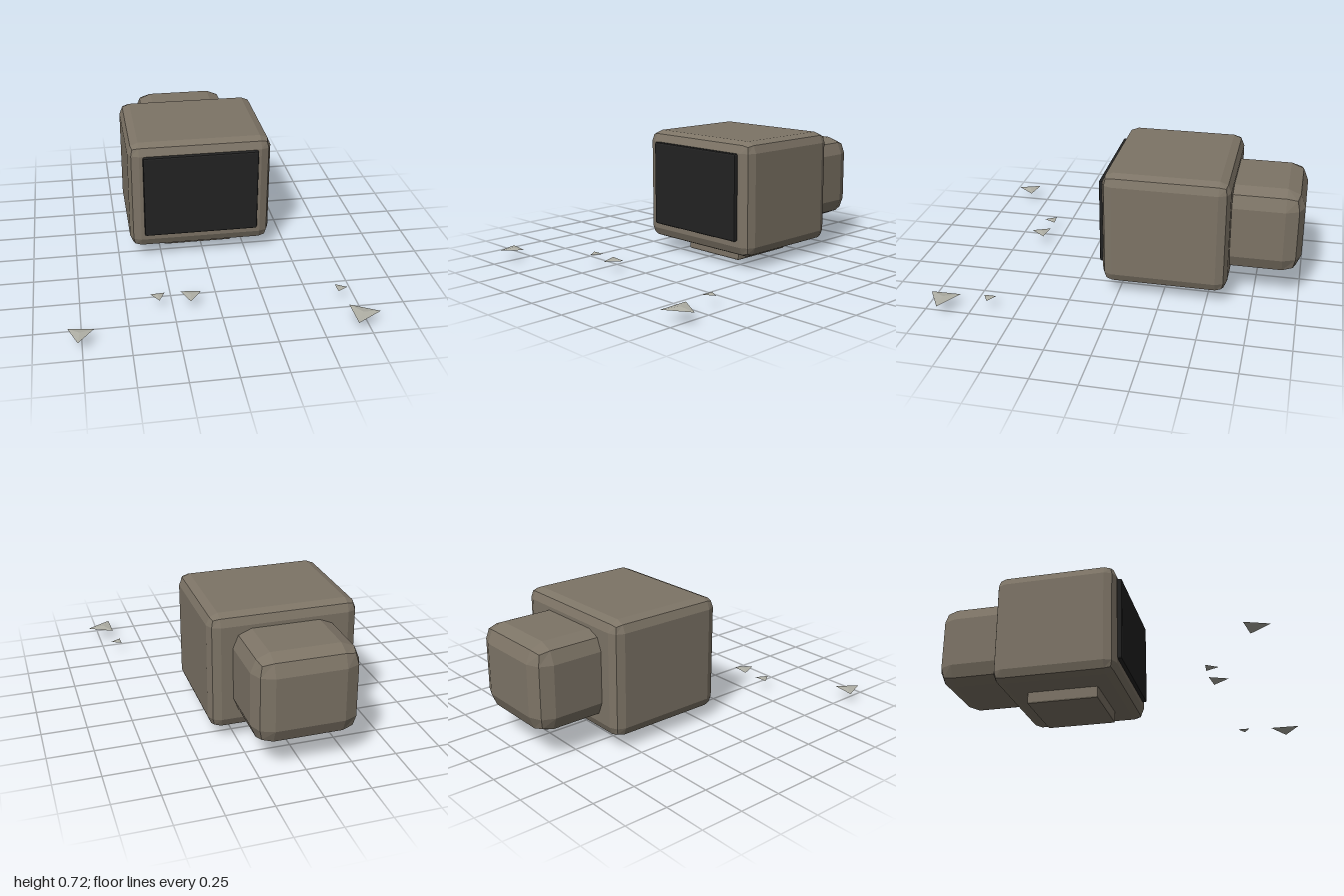
import * as THREE from 'three';
import { RoundedBoxGeometry } from 'three/addons/geometries/RoundedBoxGeometry.js';

function flatMaterial(name, color) {
  const m = new THREE.MeshStandardMaterial({ color, flatShading: true });
  m.name = name;
  return m;
}

export function createModel() {
  const casing = flatMaterial('casing taupe', 0x7d7466);
  const dark = flatMaterial('screen black', 0x222222);
  const glass = flatMaterial('shard grey', 0xb0b0a6);

  const group = new THREE.Group();
  group.name = 'brokenMonitor';

  // Box with two-step bevels, placed by its lower and upper corners
  function bevelBox(name, min, max, radius, material) {
    const size = max.map((v, i) => v - min[i]);
    const mesh = new THREE.Mesh(new RoundedBoxGeometry(...size, 1, radius), material);
    mesh.position.set(...max.map((v, i) => (v + min[i]) / 2));
    mesh.name = name;
    group.add(mesh);
  }

  bevelBox('mainCasing', [-0.43, 0.068, -0.61], [0.393, 0.724, 0.093], 0.062, casing);
  bevelBox('tubeHousing', [-0.305, 0.15, -1.0], [0.268, 0.642, -0.4], 0.1, casing);
  bevelBox('screen', [-0.348, 0.163, 0.05], [0.312, 0.66, 0.117], 0.01, dark);
  bevelBox('foot', [-0.222, 0, -0.46], [0.188, 0.075, -0.05], 0.01, casing);

  // Flat three-sided shards scattered in front: x, z, radius, turn in degrees
  const shards = [
    [-0.758, 0.867, 0.079, -9],
    [-0.328, 0.589, 0.046, 4],
    [-0.152, 0.603, 0.065, -7],
    [0.667, 0.658, 0.04, 90],
    [0.718, 0.906, 0.097, 91],
  ];
  shards.forEach(([x, z, r, turn], i) => {
    const h = r * 0.08;
    const mesh = new THREE.Mesh(new THREE.ConeGeometry(r, h, 3), glass);
    mesh.position.set(x, 0.066 + h / 2, z);
    mesh.rotation.y = THREE.MathUtils.degToRad(turn);
    mesh.name = `shard${i + 1}`;
    group.add(mesh);
  });

  return group;
}
